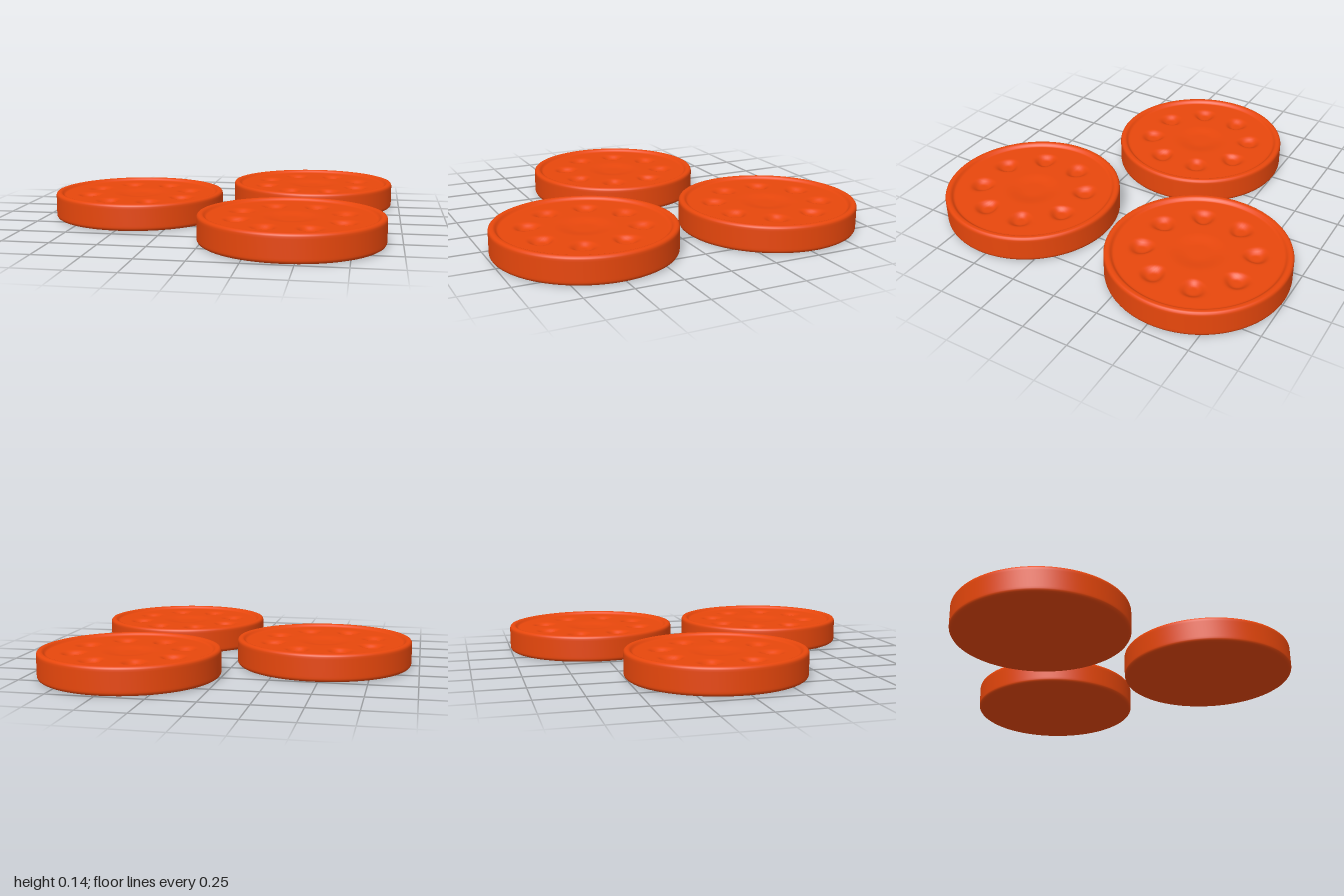
import * as THREE from 'three';
import { mergeVertices } from 'three/addons/utils/BufferGeometryUtils.js';

const R = 0.476, H = 0.145, FLOOR = 0.129, DENTS = 8;

// 1 at the middle of a dent, falling softly to 0 at its edge
const bowl = (d) => 1 - THREE.MathUtils.smoothstep(d, 0.35, 1);

// Depth pressed into the top face: a shallow centre dish and a ring of finger dents
function dentDepth(x, z) {
  let depth = 0.01 * bowl(Math.hypot(x, z) / 0.155);
  for (let i = 0; i < DENTS; i++) {
    const a = ((i + 0.5) / DENTS) * Math.PI * 2;
    const along = x * Math.cos(a) + z * Math.sin(a) - 0.285;
    const across = -x * Math.sin(a) + z * Math.cos(a);
    const width = 0.068 + along * 0.2; // wider towards the rim
    depth += 0.022 * bowl(Math.hypot(along / 0.073, across / width));
  }
  return depth;
}

function discGeometry() {
  const p = [];
  const add = (r, y) => p.push(new THREE.Vector2(r, y));
  // flat underside and rounded lower edge
  add(0, 0); add(0.2, 0); add(0.445, 0); add(0.452, 0);
  add(0.463, 0.002); add(0.471, 0.007); add(0.475, 0.014);
  // straight side
  add(R, 0.02); add(R, 0.03); add(R, H - 0.025); add(R, H - 0.015);
  // rounded rim, then step down to the recessed face
  add(0.474, H - 0.008); add(0.469, H - 0.002); add(0.462, H);
  add(0.452, H); add(0.445, H - 0.002); add(0.439, H - 0.008);
  add(0.433, FLOOR + 0.002); add(0.427, FLOOR); add(0.42, FLOOR);
  // closely spaced rings carry the dents
  for (let i = 0; i <= 48; i++) add(0.385 * (1 - i / 48), FLOOR);

  let geo = new THREE.LatheGeometry(p, 160);
  const pos = geo.attributes.position;
  for (let i = 0; i < pos.count; i++) {
    const x = pos.getX(i), y = pos.getY(i), z = pos.getZ(i);
    if (y > 0.1 && Math.hypot(x, z) < 0.4) pos.setY(i, y - dentDepth(x, z));
  }
  // weld the lathe seam for smooth shading
  geo.deleteAttribute('uv');
  geo.deleteAttribute('normal');
  geo = mergeVertices(geo, 1e-5);
  geo.computeVertexNormals();
  return geo;
}

export function createModel() {
  const group = new THREE.Group();
  group.name = 'dimpledDiscs';
  const material = new THREE.MeshStandardMaterial({ color: 0xe8470c });
  const geo = discGeometry();
  const places = [
    ['backDisc', 0.478, -0.524],
    ['sideDisc', -0.48, -0.033],
    ['frontDisc', 0.444, 0.522],
  ];
  for (const [name, x, z] of places) {
    const disc = new THREE.Mesh(geo, material);
    disc.name = name;
    disc.position.set(x, 0, z);
    group.add(disc);
  }
  return group;
}
